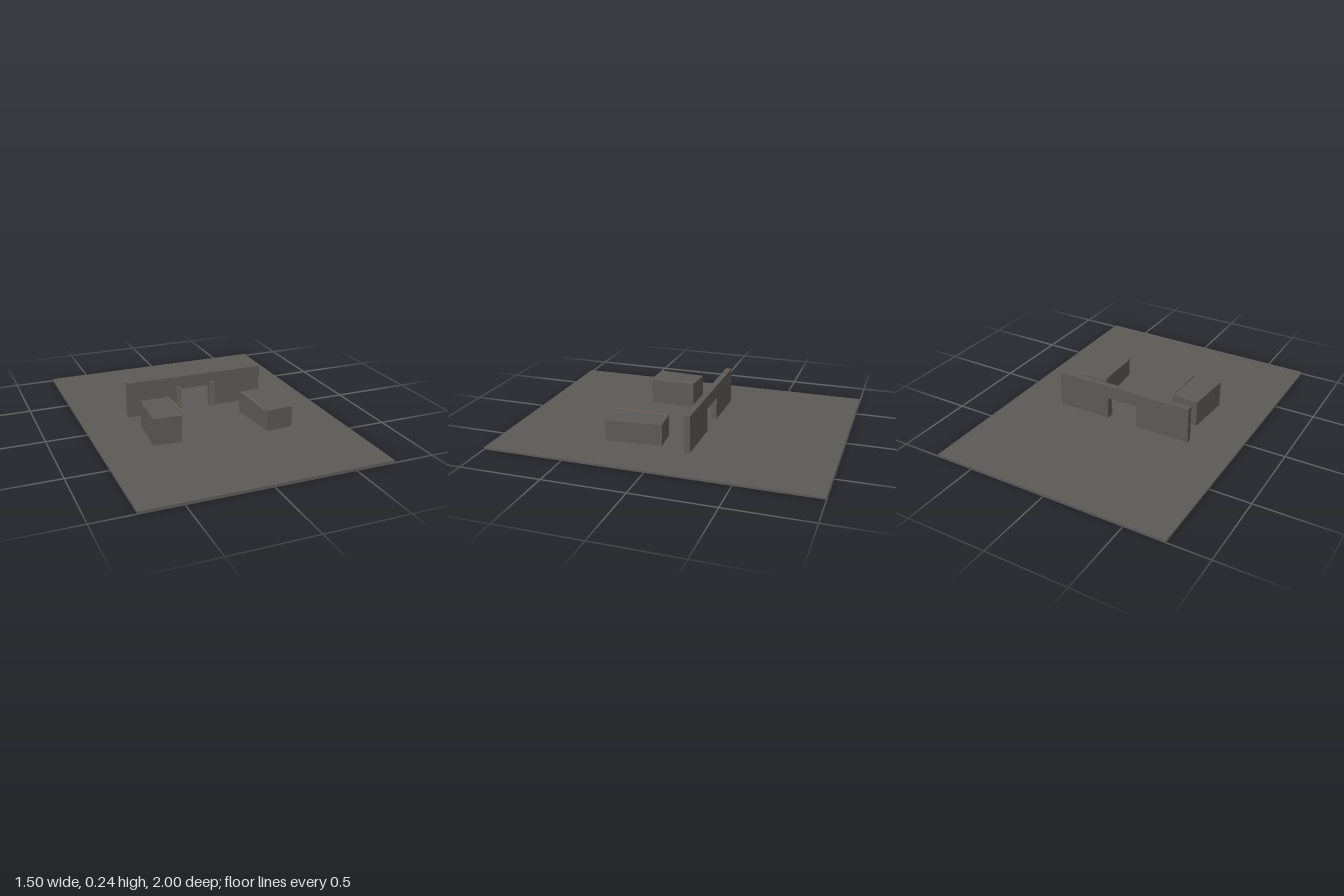
import * as THREE from 'three';

const stone = new THREE.MeshStandardMaterial({ color: 0x5c5a57 });
const wood = new THREE.MeshStandardMaterial({ color: 0x6b625a });
const FLOOR = 0.013;

export function createModel() {
  const model = new THREE.Group();

  // Box given by its centre in plan, its size, its underside and its turn
  function block(name, x, z, w, d, bottom, top, material = stone, turn = 0) {
    const mesh = new THREE.Mesh(new THREE.BoxGeometry(w, top - bottom, d), material);
    mesh.name = name;
    mesh.position.set(x, (bottom + top) / 2, z);
    mesh.rotation.y = turn;
    model.add(mesh);
  }

  // Ground slab
  block('groundSlab', 0, 0, 1.5, 2, 0, FLOOR);

  // Wall with a doorway: two wall pieces, and a post beside each opening edge
  for (const [side, s] of [['right', -1], ['left', 1]]) {
    block(side + 'Wall', s * 0.275, -0.151, 0.35, 0.038, FLOOR, 0.24);
    block(side + 'DoorPost', s * 0.115, -0.125, 0.024, 0.018, FLOOR, 0.176, wood);
  }
  block('lintel', 0, -0.151, 0.2, 0.038, 0.157, 0.24);

  // Two slightly turned blocks, each with a thin strip along its inner top edge
  block('rightBlock', -0.34, 0.173, 0.173, 0.299, FLOOR, 0.18, stone, -0.065);
  block('rightEdgeStrip', -0.247, 0.172, 0.01, 0.285, 0.176, 0.187, wood);
  block('leftBlock', 0.336, 0.197, 0.17, 0.347, FLOOR, 0.145, stone, 0.087);
  block('leftEdgeStrip', 0.25, 0.2, 0.01, 0.33, 0.141, 0.152, wood);

  // Faint line across the floor
  block('floorLine', 0, 0.247, 0.34, 0.004, FLOOR - 0.002, FLOOR + 0.0008);

  return model;
}
